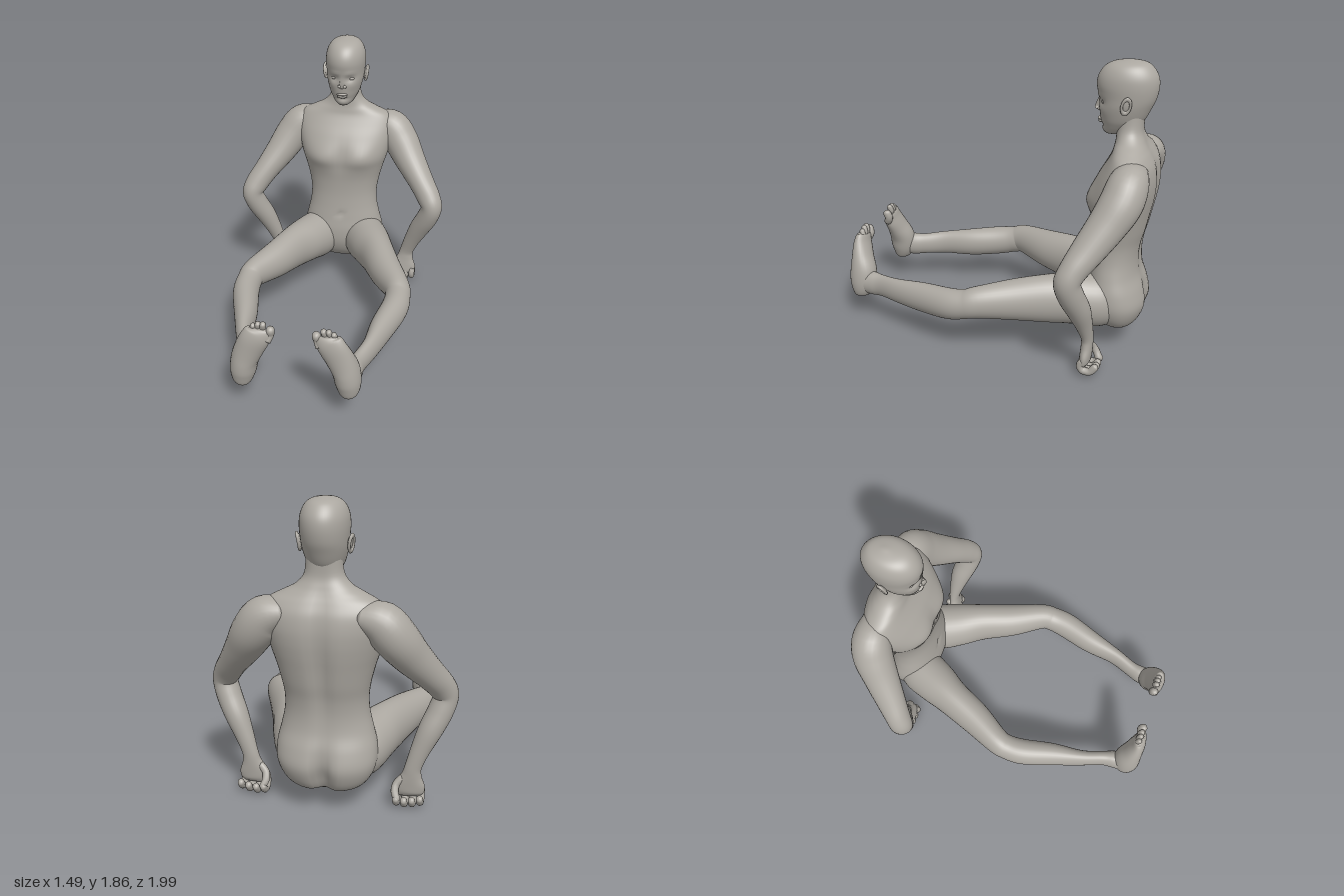
import * as THREE from 'three';

const skin = new THREE.MeshStandardMaterial({ color: 0xaca8a1 });
skin.name = 'warm grey';

const bump = (d, w) => Math.exp(-(d * d) / (w * w));
const catmull = (a, b, c, d, t) =>
  0.5 * (2 * b + (c - a) * t + (2 * a - 5 * b + 4 * c - d) * t * t + (3 * b - a - 3 * c + d) * t * t * t);

// Smooth closed skin over stations [x, y, z, sideRadius, otherRadius].
function loft(name, stations, { ref = [1, 0, 0], axis, seg = 24, sub = 5, power = 2, mod } = {}) {
  const n = stations.length, rows = [];
  const at = (i) => stations[Math.max(0, Math.min(n - 1, i))];
  for (let i = 0; i < (n - 1) * sub + 1; i++) {
    const k = Math.min(n - 2, Math.floor(i / sub)), t = i / sub - k;
    rows.push(at(k).map((_, d) => catmull(at(k - 1)[d], at(k)[d], at(k + 1)[d], at(k + 2)[d], t)));
  }
  const centre = rows.map((r) => new THREE.Vector3(r[0], r[1], r[2]));
  const pos = [], index = [], last = rows.length - 1;
  const push = (p) => { if (mod) mod(p); pos.push(p.x, p.y, p.z); };
  const e = 2 / power, pw = (v) => Math.sign(v) * Math.abs(v) ** e;
  rows.forEach((r, i) => {
    const tan = axis ? new THREE.Vector3(...axis)
      : centre[Math.min(last, i + 1)].clone().sub(centre[Math.max(0, i - 1)]).normalize();
    const side = new THREE.Vector3(...ref);
    side.addScaledVector(tan, -side.dot(tan)).normalize();
    const up = tan.clone().cross(side);
    for (let j = 0; j < seg; j++) {
      const th = (j / seg) * Math.PI * 2;
      push(centre[i].clone()
        .addScaledVector(side, Math.max(0.001, r[3]) * pw(Math.cos(th)))
        .addScaledVector(up, Math.max(0.001, r[4]) * pw(Math.sin(th))));
    }
  });
  push(centre[0].clone());
  push(centre[last].clone());
  const capA = rows.length * seg, capB = capA + 1;
  for (let j = 0; j < seg; j++) {
    const k = (j + 1) % seg;
    for (let i = 0; i < last; i++) {
      const a = i * seg + j, b = i * seg + k;
      index.push(a, b, b + seg, a, b + seg, a + seg);
    }
    index.push(capA, k, j, capB, last * seg + j, last * seg + k);
  }
  const geo = new THREE.BufferGeometry();
  geo.setAttribute('position', new THREE.Float32BufferAttribute(pos, 3));
  geo.setIndex(index);
  geo.computeVertexNormals();
  const mesh = new THREE.Mesh(geo, skin);
  mesh.name = name;
  return mesh;
}

// Upright body from rows of [y, frontZ, backZ, halfWidth].
const upright = (name, rows, opts) => loft(name,
  rows.map(([y, f, b, w]) => [0, y, (f + b) / 2, w, (f - b) / 2]), { axis: [0, 1, 0], seg: 56, ...opts });

function ellipsoid(name, [x, y, z], [a, b, c], rotX = 0) {
  const m = new THREE.Mesh(new THREE.SphereGeometry(1, 20, 14), skin);
  m.name = name;
  m.position.set(x, y, z);
  m.scale.set(a, b, c);
  m.rotation.x = rotX;
  return m;
}

// Small round-ended digit through points, used for fingers and toes.
function digit(name, pts, r) {
  const rows = pts.map((p, i) => [...p, r * (i === pts.length - 1 ? 0.9 : 1), r]);
  const [p, q] = [pts[pts.length - 2], pts[pts.length - 1]];
  const d = new THREE.Vector3(...q).sub(new THREE.Vector3(...p)).normalize();
  const tip = (k, s) => [q[0] + d.x * r * k, q[1] + d.y * r * k, q[2] + d.z * r * k, r * s, r * s];
  rows.push(tip(0.6, 0.65), tip(0.85, 0.1));
  return loft(name, rows, { seg: 12, sub: 4 });
}

function torso() {
  return upright('torso', [
    [0.15, -0.74, -0.88, 0.12], [0.17, -0.70, -0.92, 0.2], [0.23, -0.64, -0.96, 0.26],
    [0.32, -0.60, -0.985, 0.295], [0.42, -0.59, -0.965, 0.295], [0.52, -0.60, -0.93, 0.272],
    [0.62, -0.61, -0.92, 0.25], [0.72, -0.615, -0.93, 0.245], [0.82, -0.61, -0.955, 0.26],
    [0.92, -0.595, -0.975, 0.285], [1.0, -0.585, -0.99, 0.31], [1.08, -0.60, -1.0, 0.33],
    [1.16, -0.635, -1.0, 0.345], [1.24, -0.68, -0.985, 0.345], [1.30, -0.71, -0.955, 0.31],
    [1.34, -0.72, -0.93, 0.235], [1.38, -0.725, -0.91, 0.16], [1.44, -0.725, -0.89, 0.112],
    [1.54, -0.73, -0.89, 0.1],
  ], {
    power: 2.15,
    mod(p) {
      if (p.z < -0.8) { // spine groove and cleft
        const w = Math.min(1, (-0.8 - p.z) / 0.1);
        p.z += w * bump(p.x, 0.05) * (0.03 * bump(p.y - 0.95, 0.35) + 0.065 * bump(p.y - 0.25, 0.16));
      } else { // chest, breastbone and navel
        const w = Math.min(1, (p.z + 0.8) / 0.1), x = Math.abs(p.x);
        p.z += w * (0.022 * bump(x - 0.15, 0.1) * bump(p.y - 1.01, 0.08)
          - 0.012 * bump(x, 0.05) * bump(p.y - 1.02, 0.12)
          - 0.014 * bump(x, 0.016) * bump(p.y - 0.56, 0.022));
      }
    },
  });
}

function head() {
  const g = new THREE.Group();
  g.name = 'head';
  g.add(upright('skull', [
    [1.4, -0.655, -0.74, 0.035], [1.42, -0.637, -0.80, 0.062], [1.46, -0.63, -0.85, 0.088],
    [1.50, -0.62, -0.89, 0.107], [1.57, -0.61, -0.925, 0.126], [1.63, -0.605, -0.95, 0.133],
    [1.70, -0.59, -0.962, 0.138], [1.76, -0.60, -0.955, 0.132], [1.81, -0.635, -0.925, 0.11],
    [1.84, -0.69, -0.885, 0.073], [1.855, -0.78, -0.81, 0.01],
  ], {
    mod(p) { // eye sockets, cheekbones and chin
      if (p.z < -0.72) return;
      const x = Math.abs(p.x);
      p.z += -0.016 * bump(x - 0.055, 0.03) * bump(p.y - 1.6, 0.022)
        + 0.006 * bump(x - 0.05, 0.04) * bump(p.y - 1.64, 0.015)
        + 0.006 * bump(x - 0.075, 0.03) * bump(p.y - 1.55, 0.03)
        - 0.008 * bump(x, 0.04) * bump(p.y - 1.452, 0.012);
    },
  }));
  g.add(loft('nose', [[0, 1.63, -0.622, 0.01, 0.012], [0, 1.6, -0.612, 0.012, 0.015],
    [0, 1.565, -0.603, 0.018, 0.019], [0, 1.548, -0.605, 0.022, 0.02], [0, 1.537, -0.61, 0.01, 0.01]],
  { axis: [0, 1, 0], seg: 16, sub: 4 }).rotateX(0));
  g.add(ellipsoid('upper lip', [0, 1.489, -0.622], [0.04, 0.01, 0.017]));
  g.add(ellipsoid('lower lip', [0, 1.473, -0.626], [0.034, 0.011, 0.018]));
  for (const s of [1, -1]) {
    g.add(ellipsoid('nostril', [s * 0.02, 1.548, -0.618], [0.012, 0.011, 0.015]));
    g.add(ellipsoid('eye', [s * 0.056, 1.602, -0.652], [0.025, 0.014, 0.018]));
    const ear = new THREE.Group();
    ear.name = 'ear';
    const rim = new THREE.Mesh(new THREE.TorusGeometry(0.03, 0.009, 10, 28), skin);
    rim.name = 'ear rim';
    rim.scale.set(0.85, 1.5, 1);
    rim.rotation.y = Math.PI / 2;
    ear.add(rim, ellipsoid('ear bowl', [-s * 0.008, 0, 0], [0.01, 0.045, 0.026]),
      ellipsoid('ear lobe', [-s * 0.004, -0.042, 0.008], [0.009, 0.016, 0.013]));
    ear.position.set(s * 0.146, 1.605, -0.795);
    ear.rotation.set(-0.15, s * 0.3, s * -0.12);
    g.add(ear);
  }
  return g;
}

function arm(s) {
  const g = new THREE.Group();
  g.name = s > 0 ? 'left arm' : 'right arm';
  const flip = (rows) => rows.map(([x, ...r]) => [s * x, ...r]);
  g.add(loft('arm', flip([
    [0.2, 1.23, -0.87, 0.09, 0.07], [0.32, 1.195, -0.865, 0.12, 0.12], [0.40, 1.10, -0.84, 0.128, 0.125],
    [0.48, 0.98, -0.775, 0.115, 0.11], [0.575, 0.85, -0.69, 0.098, 0.09], [0.64, 0.755, -0.63, 0.083, 0.083],
    [0.668, 0.685, -0.605, 0.08, 0.075], [0.64, 0.59, -0.625, 0.08, 0.076], [0.587, 0.48, -0.66, 0.073, 0.072],
    [0.535, 0.36, -0.685, 0.053, 0.058], [0.50, 0.26, -0.70, 0.038, 0.05], [0.49, 0.2, -0.70, 0.036, 0.06],
    [0.482, 0.14, -0.695, 0.036, 0.088], [0.475, 0.09, -0.69, 0.034, 0.09], [0.475, 0.06, -0.69, 0.018, 0.075],
  ]), { ref: [0, 0, 1], seg: 28 }));
  // curled fingers and thumb
  for (let i = 0; i < 4; i++) {
    const x = 0.405 + i * 0.047, y = [0, -0.006, 0, 0.014][i];
    g.add(digit('finger', flip([[x, 0.11, -0.685], [x, 0.06 + y, -0.672],
      [x, 0.03 + y, -0.69], [x, 0.03 + y, -0.735], [x, 0.065 + y, -0.765]]), 0.023));
  }
  g.add(digit('thumb', flip([[0.44, 0.18, -0.70], [0.402, 0.14, -0.715], [0.395, 0.1, -0.74], [0.41, 0.065, -0.76]]), 0.023));
  return g;
}

function leg(s) {
  const g = new THREE.Group();
  g.name = s > 0 ? 'left leg' : 'right leg';
  const flip = (rows) => rows.map(([x, ...r]) => [s * x, ...r]);
  g.add(loft('leg', flip([
    [0.13, 0.33, -0.85, 0.1, 0.12], [0.175, 0.34, -0.70, 0.155, 0.175], [0.24, 0.36, -0.55, 0.15, 0.168],
    [0.31, 0.367, -0.40, 0.125, 0.16], [0.395, 0.367, -0.2, 0.112, 0.135], [0.497, 0.365, 0, 0.088, 0.105],
    [0.514, 0.347, 0.08, 0.085, 0.095], [0.505, 0.325, 0.2, 0.088, 0.102], [0.45, 0.305, 0.4, 0.077, 0.1],
    [0.405, 0.293, 0.6, 0.052, 0.085], [0.355, 0.283, 0.74, 0.048, 0.077], [0.335, 0.28, 0.82, 0.058, 0.082],
    [0.325, 0.28, 0.9, 0.06, 0.075], [0.32, 0.28, 0.95, 0.03, 0.04],
  ]), { seg: 36 }));
  g.add(loft('foot', flip([
    [0.328, 0.168, 0.92, 0.02, 0.02], [0.326, 0.19, 0.92, 0.055, 0.055], [0.32, 0.26, 0.908, 0.078, 0.086],
    [0.305, 0.35, 0.907, 0.084, 0.09], [0.27, 0.44, 0.925, 0.088, 0.068], [0.23, 0.52, 0.94, 0.088, 0.05],
    [0.205, 0.57, 0.942, 0.078, 0.036], [0.2, 0.595, 0.942, 0.05, 0.018],
  ]), { seg: 28 }));
  // toes, big toe innermost
  const tips = [[0.135, 0.59, 0.028], [0.178, 0.622, 0.02], [0.208, 0.622, 0.019], [0.238, 0.608, 0.018], [0.266, 0.582, 0.018]];
  for (const [x, y, r] of tips) {
    g.add(digit('toe', flip([[x + 0.025, y - 0.075, 0.945], [x + 0.008, y - 0.035, 0.928], [x, y, 0.937]]), r));
  }
  return g;
}

export function createModel() {
  const model = new THREE.Group();
  model.name = 'seated figure';
  model.add(torso(), head());
  for (const s of [1, -1]) model.add(arm(s), leg(s));
  return model;
}
